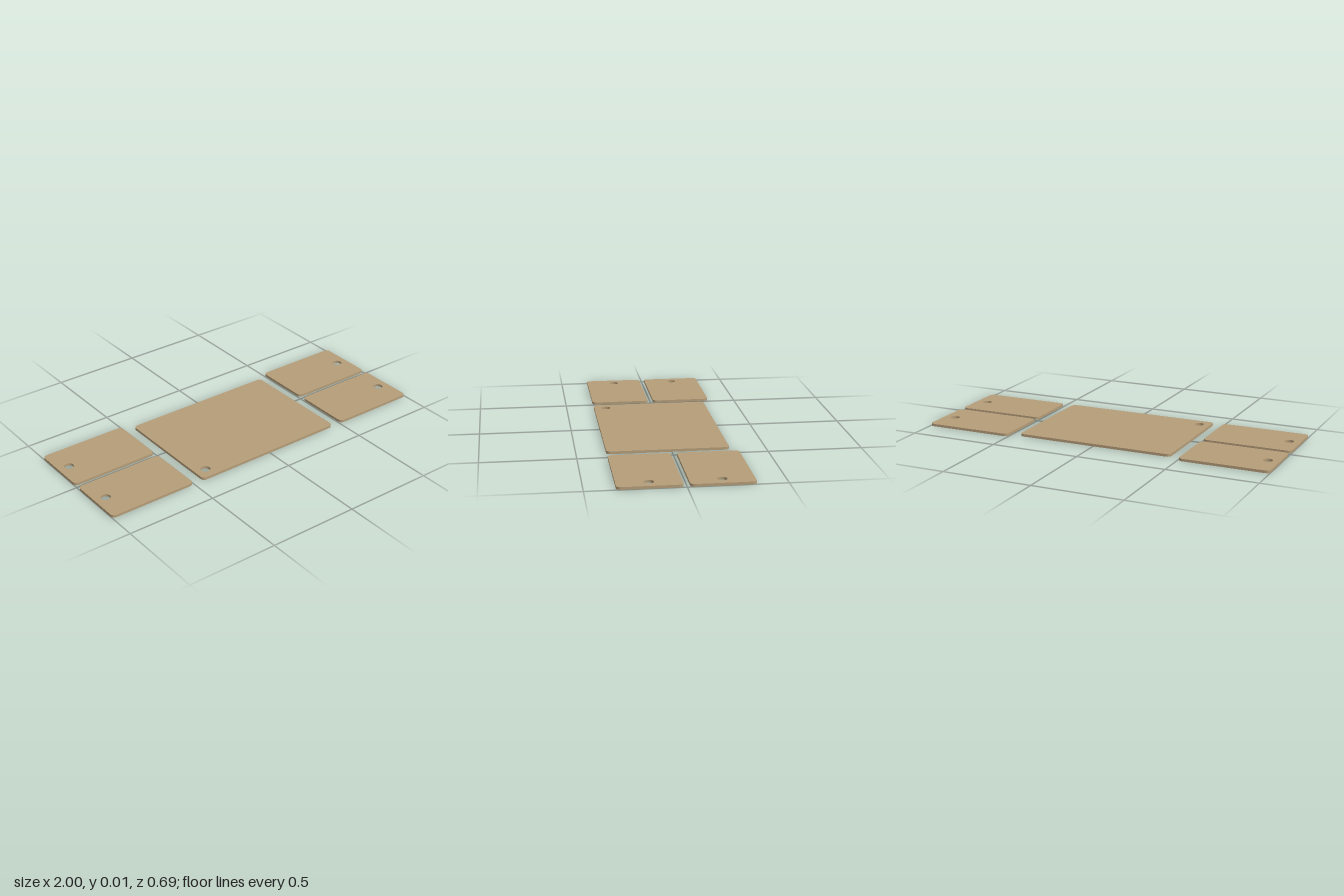
import * as THREE from 'three';

const THICKNESS = 0.014;
const CORNER = 0.023;
const HOLE = 0.026;

// Flat rounded plate lying on y = 0, with one round hole (all positions in x, z)
function plate(name, x0, x1, z0, z1, holeX, holeZ, material) {
  const r = CORNER;
  const shape = new THREE.Shape();
  shape.moveTo(x0 + r, z0);
  shape.lineTo(x1 - r, z0);
  shape.absarc(x1 - r, z0 + r, r, -Math.PI / 2, 0, false);
  shape.lineTo(x1, z1 - r);
  shape.absarc(x1 - r, z1 - r, r, 0, Math.PI / 2, false);
  shape.lineTo(x0 + r, z1);
  shape.absarc(x0 + r, z1 - r, r, Math.PI / 2, Math.PI, false);
  shape.lineTo(x0, z0 + r);
  shape.absarc(x0 + r, z0 + r, r, Math.PI, Math.PI * 1.5, false);

  const hole = new THREE.Path();
  hole.absarc(holeX, holeZ, HOLE, 0, Math.PI * 2, true);
  shape.holes.push(hole);

  const geometry = new THREE.ExtrudeGeometry(shape, {
    depth: THICKNESS, bevelEnabled: false, curveSegments: 16,
  });
  geometry.rotateX(Math.PI / 2); // shape y becomes z
  geometry.translate(0, THICKNESS, 0);
  const mesh = new THREE.Mesh(geometry, material);
  mesh.name = name;
  return mesh;
}

export function createModel() {
  const group = new THREE.Group();
  group.name = 'tagSet';
  const tan = new THREE.MeshStandardMaterial({ color: 0xb59d78 });
  tan.name = 'tan';

  // Large central plate, hole in its front right corner
  group.add(plate('mainPlate', -0.445, 0.444, -0.305, 0.343, -0.381, 0.277, tan));

  // Four small tags, holes near their outer ends
  for (const [side, sx] of [['left', 1], ['right', -1]]) {
    for (const [end, sz] of [['Front', 1], ['Back', -1]]) {
      const xs = [sx * 0.505, sx].sort((a, b) => a - b);
      const zs = [sz * 0.016, sz * 0.343].sort((a, b) => a - b);
      group.add(plate(`${side}${end}Tag`, ...xs, ...zs, sx * 0.937, sz * 0.18, tan));
    }
  }
  return group;
}
